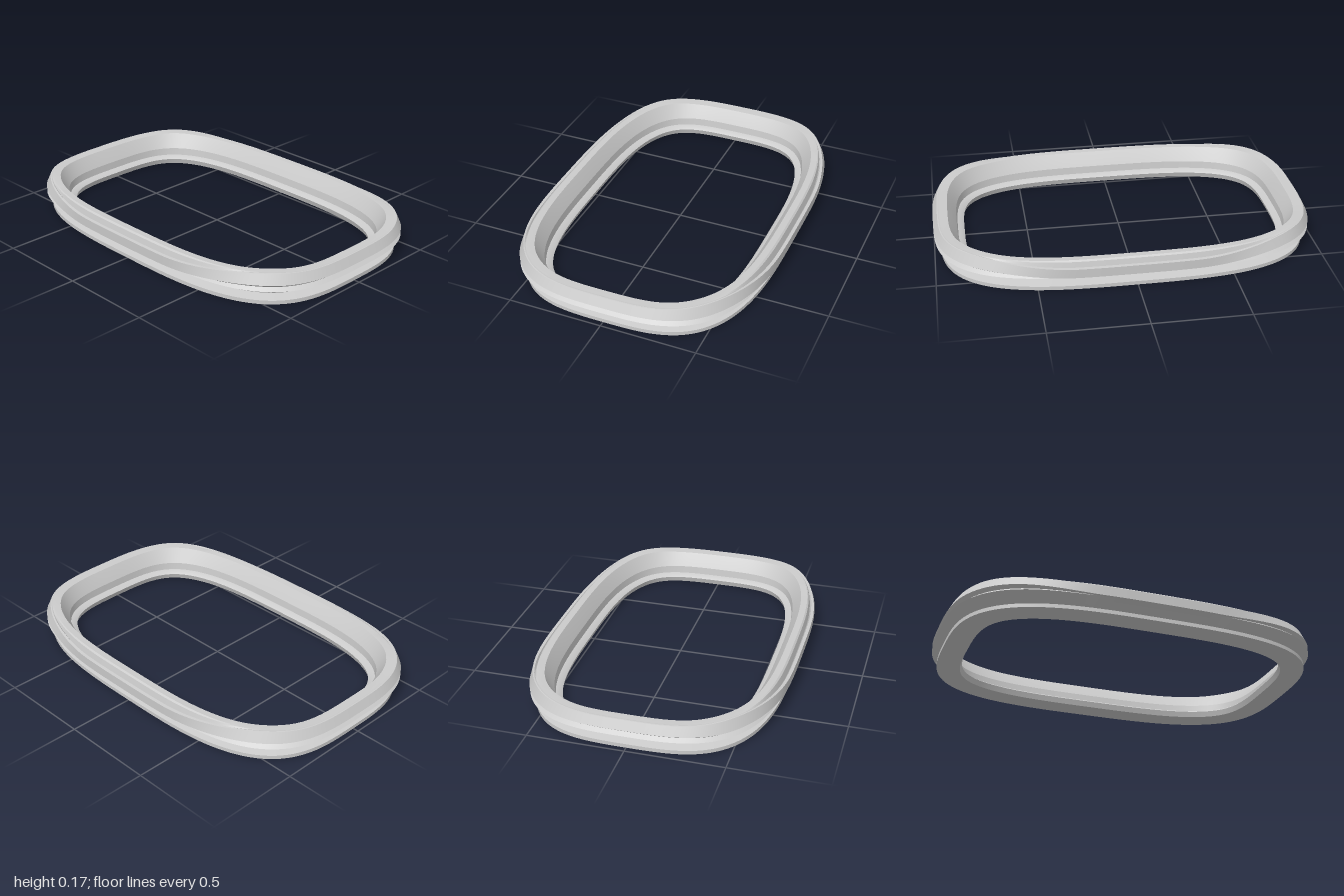
import * as THREE from 'three';
import { toCreasedNormals } from 'three/addons/utils/BufferGeometryUtils.js';

// Outline of the ring: a superellipse, with sections inset along its normal
const HALF_X = 1, HALF_Z = 0.675, POWER = 3.2, STEPS = 192;

// Closed cross-sections as [inset, height], from the foot up the outside, over the rim and down the inside
const inside = [[0.045, 0.16], [0.08, 0.158], [0.105, 0.12], [0.125, 0.085],
  [0.13, 0.045], [0.15, 0.04], [0.165, 0.03], [0.155, 0]];
const foot = [[0.03, 0], [0.03, 0.02], [0.09, 0.03], [0.086, 0.038]];
// Short ends: two lips with a groove between them
const endSection = [...foot, [0, 0.083], [0.02, 0.1], [0, 0.115],
  [0.024, 0.16], [0.03, 0.161], [0.035, 0.16], [0.04, 0.16], ...inside];
// Long sides: the upper lip drops and parts from the rim
const sideSection = [...foot, [0.012, 0.079], [0.01, 0.08], [0, 0.082],
  [0, 0.13], [0.017, 0.132], [0.026, 0.115], [0.036, 0.153], ...inside];

function sealGeometry() {
  const positions = [], indices = [];
  const count = endSection.length;
  for (let i = 0; i < STEPS; i++) {
    const t = (i / STEPS) * Math.PI * 2;
    const c = Math.cos(t), s = Math.sin(t);
    const r = (Math.abs(c / HALF_X) ** POWER + Math.abs(s / HALF_Z) ** POWER) ** (-1 / POWER);
    const x = r * c, z = r * s;
    const normal = new THREE.Vector2(
      Math.sign(x) * Math.abs(x / HALF_X) ** (POWER - 1) / HALF_X,
      Math.sign(z) * Math.abs(z / HALF_Z) ** (POWER - 1) / HALF_Z).normalize();
    const blend = THREE.MathUtils.smoothstep(Math.abs(x), 0.3, 0.85);
    const bump = 0.008 * (2 * normal.x * normal.y) ** 2; // corners rise slightly
    for (let j = 0; j < count; j++) {
      const [d0, y0] = sideSection[j], [d1, y1] = endSection[j];
      const d = THREE.MathUtils.lerp(d0, d1, blend);
      const y = THREE.MathUtils.lerp(y0, y1, blend);
      const lift = bump * THREE.MathUtils.smoothstep(y, 0.11, 0.155);
      positions.push(x - normal.x * d, y + lift, z - normal.y * d);

      const i2 = (i + 1) % STEPS, j2 = (j + 1) % count;
      const a = i * count + j, b = i * count + j2, e = i2 * count + j, f = i2 * count + j2;
      indices.push(a, b, e, b, f, e);
    }
  }
  const geometry = new THREE.BufferGeometry();
  geometry.setAttribute('position', new THREE.Float32BufferAttribute(positions, 3));
  geometry.setIndex(indices);
  return toCreasedNormals(geometry, 0.35);
}

export function createModel() {
  const group = new THREE.Group();
  group.name = 'sealRing';
  const seal = new THREE.Mesh(sealGeometry(), new THREE.MeshStandardMaterial({ color: 0xcccccc }));
  seal.name = 'lippedSeal';
  group.add(seal);
  return group;
}
